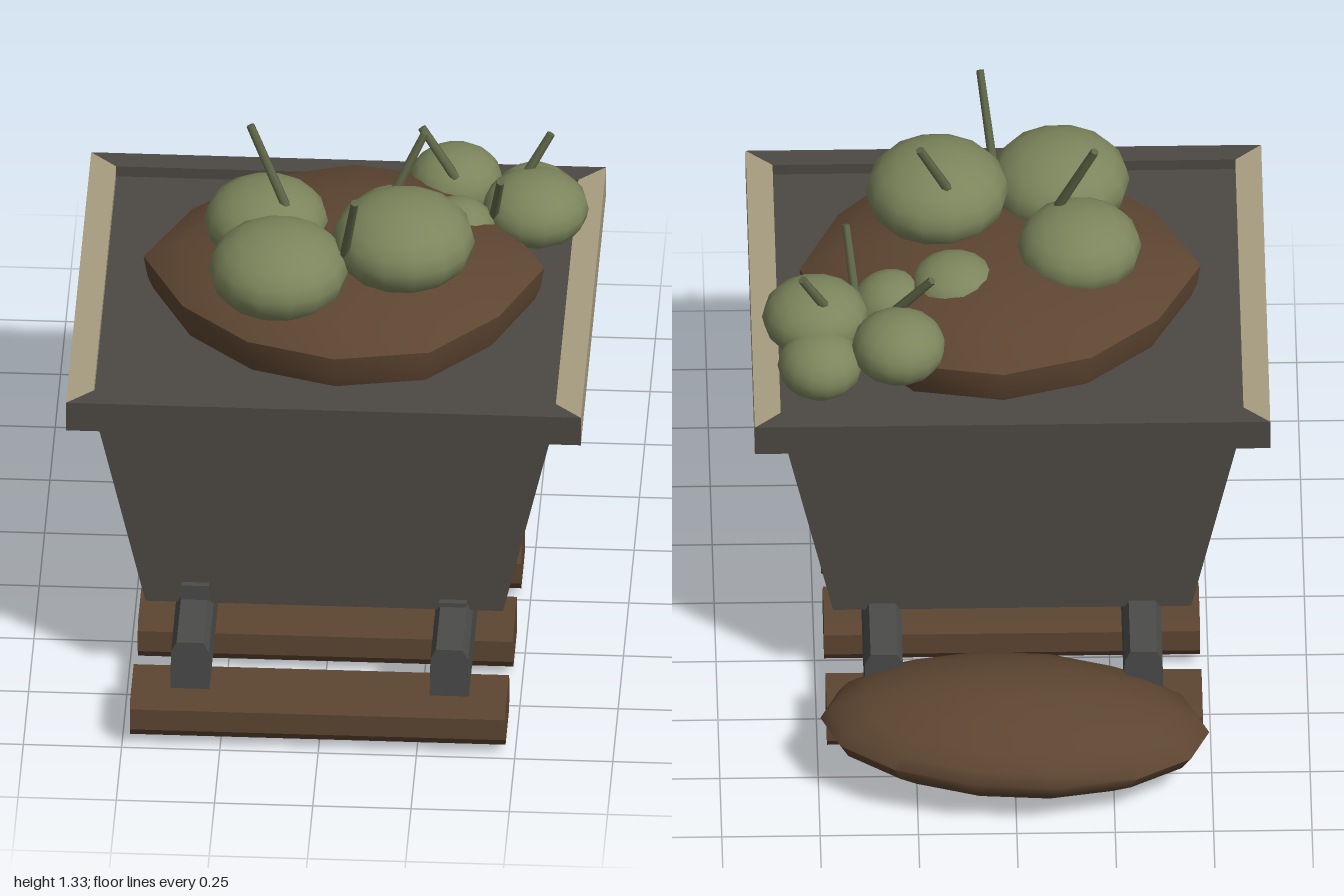
import * as THREE from 'three';
import { toCreasedNormals } from 'three/addons/utils/BufferGeometryUtils.js';

const paint = (name, color) => Object.assign(new THREE.MeshStandardMaterial({ color }), { name });

export function createModel() {
  const root = new THREE.Group();
  root.name = 'mineCart';
  const iron = paint('dark iron', 0x4d4944);
  const steel = paint('rail grey', 0x4b4b4a);
  const cream = paint('pale rim', 0xa79c80);
  const wood = paint('brown', 0x5d4531);
  const green = paint('fruit green', 0x7c855c);
  const stalk = paint('stalk green', 0x5f6647);

  const add = (name, geo, mat, x = 0, y = 0, z = 0) => {
    const mesh = new THREE.Mesh(geo, mat);
    mesh.name = name;
    mesh.position.set(x, y, z);
    root.add(mesh);
    return mesh;
  };
  const polygon = (pts) => new THREE.Shape(pts.map(([x, y]) => new THREE.Vector2(x, y)));
  const extrude = (pts, depth) => new THREE.ExtrudeGeometry(polygon(pts), { depth, bevelEnabled: false });
  // Moves every vertex by a rule, then sharpens only the strong edges
  const reshape = (geo, rule, crease) => {
    const p = geo.attributes.position;
    const v = new THREE.Vector3();
    for (let i = 0; i < p.count; i++) {
      v.fromBufferAttribute(p, i);
      rule(v);
      p.setXYZ(i, v.x, v.y, v.z);
    }
    return toCreasedNormals(geo, crease);
  };

  // Tub with sloping sides, filled almost to the rim
  add('tub', extrude([[-0.455, 0.26], [0.455, 0.26], [0.59, 0.845], [-0.59, 0.845]], 1.095), iron, 0, 0, -0.385);

  // Mitred rim: pale on the sides, dark at front and back
  const [X, x, F, f, B, b] = [0.655, 0.588, 0.75, 0.688, -0.435, -0.372];
  const rim = (name, pts, mat) => {
    const geo = extrude(pts, 0.083);
    geo.rotateX(Math.PI / 2);
    add(name, geo, mat, 0, 0.875, 0);
  };
  rim('rimFront', [[-X, F], [-x, f], [x, f], [X, F]], iron);
  rim('rimBack', [[-X, B], [X, B], [x, b], [-x, b]], iron);
  rim('rimLeft', [[X, B], [X, F], [x, f], [x, b]], cream);
  rim('rimRight', [[-X, B], [-x, b], [-x, f], [-X, F]], cream);

  // Chamfered wooden sleepers
  [0.9, 0.53, 0.16, -0.2, -0.57].forEach((z, i) => {
    const h = 0.098, c = 0.018;
    const geo = extrude([[-h + c, 0.03], [h - c, 0.03], [h, 0.055], [h, 0.115],
      [h - c, 0.138], [-h + c, 0.138], [-h, 0.115], [-h, 0.055]], 0.955);
    geo.rotateY(Math.PI / 2);
    add('sleeper' + (i + 1), geo, wood, -0.479, 0, z);
  });

  // Rails, wheels and front brackets, mirrored
  for (const s of [-1, 1]) {
    const side = s > 0 ? 'Left' : 'Right';
    add('rail' + side, extrude([[-0.05, 0.14], [0.05, 0.14], [0.048, 0.25], [0.034, 0.278],
      [-0.034, 0.278], [-0.048, 0.25]], 1.535), steel, s * 0.33, 0, -0.605);
    for (const z of [0.5, -0.205]) {
      const wheel = new THREE.CylinderGeometry(0.125, 0.125, 0.115, 10).rotateZ(Math.PI / 2);
      add('wheel' + side, toCreasedNormals(wheel, 0.4), steel, s * 0.332, 0.275, z);
    }
    const tall = s < 0 ? 0.06 : 0.03;
    add('bracket' + side, new THREE.BoxGeometry(0.07, tall, 0.03), steel, s * 0.328, 0.26 + tall / 2, 0.712);
  }

  // Heap of earth: a lathe whose radius follows an uneven outline
  const outline = [0.46, 0.48, 0.47, 0.51, 0.45, 0.48, 0.46, 0.45, 0.46, 0.51, 0.46, 0.45];
  const profile = [[0.94, 0.83], [0.98, 0.88], [1, 0.94], [0.82, 0.99], [0.45, 1.03], [0, 1.04]]
    .map(([r, y]) => new THREE.Vector2(r, y));
  add('earthHeap', reshape(new THREE.LatheGeometry(profile, 12), (v) => {
    const turn = Math.round(Math.atan2(v.x, v.z) / (Math.PI / 6));
    const r = outline[(turn + 12) % 12];
    v.x *= r;
    v.z *= r;
  }, 0.75), wood, 0.02, 0, 0.15);

  // Lens-shaped sack lying behind the cart
  const sack = add('sack', reshape(new THREE.SphereGeometry(1, 14, 10), (v) => {
    const r = Math.min(1, Math.hypot(v.x, v.z));
    v.y *= 1 - 0.25 * r * r;
    v.x *= 0.495;
    v.y *= 0.142;
    v.z *= 0.272;
  }, 0.9), wood, 0, 0.143, -0.728);
  sack.rotation.z = 0.06;

  // Flattened fruit: x, y, z, radius, half height
  [
    [-0.135, 1.055, 0.368, 0.178, 0.115],
    [0.178, 1.095, 0.277, 0.182, 0.117],
    [-0.18, 1.035, 0.11, 0.158, 0.105],
    [0.495, 0.97, -0.088, 0.135, 0.092],
    [0.285, 0.965, -0.215, 0.12, 0.09],
    [0.485, 0.915, -0.22, 0.108, 0.085],
    [0.3, 0.945, -0.008, 0.1, 0.085],
    [0.14, 0.99, 0.015, 0.11, 0.075],
  ].forEach(([px, y, z, r, h], i) => {
    add('fruit' + (i + 1), new THREE.SphereGeometry(1, 14, 10), green, px, y, z).scale.set(r, h, r);
  });

  // Stalks, each from base to tip
  [
    [[0.03, 1.08, 0.355], [0.065, 1.325, 0.473]],
    [[0.14, 1.15, 0.175], [0.225, 1.325, 0.135]],
    [[-0.115, 1.09, 0.175], [-0.22, 1.325, 0.12]],
    [[0.465, 1.03, -0.14], [0.53, 1.143, -0.167]],
    [[0.39, 0.97, -0.03], [0.414, 1.143, 0.068]],
    [[0.29, 1.02, -0.135], [0.2, 1.143, -0.178]],
  ].forEach(([from, to], i) => {
    const a = new THREE.Vector3(...from);
    const d = new THREE.Vector3(...to).sub(a);
    const geo = new THREE.CylinderGeometry(0.011, 0.013, d.length(), 6);
    const mesh = add('stalk' + (i + 1), geo, stalk);
    mesh.position.copy(a).addScaledVector(d, 0.5);
    mesh.quaternion.setFromUnitVectors(new THREE.Vector3(0, 1, 0), d.normalize());
  });

  return root;
}
